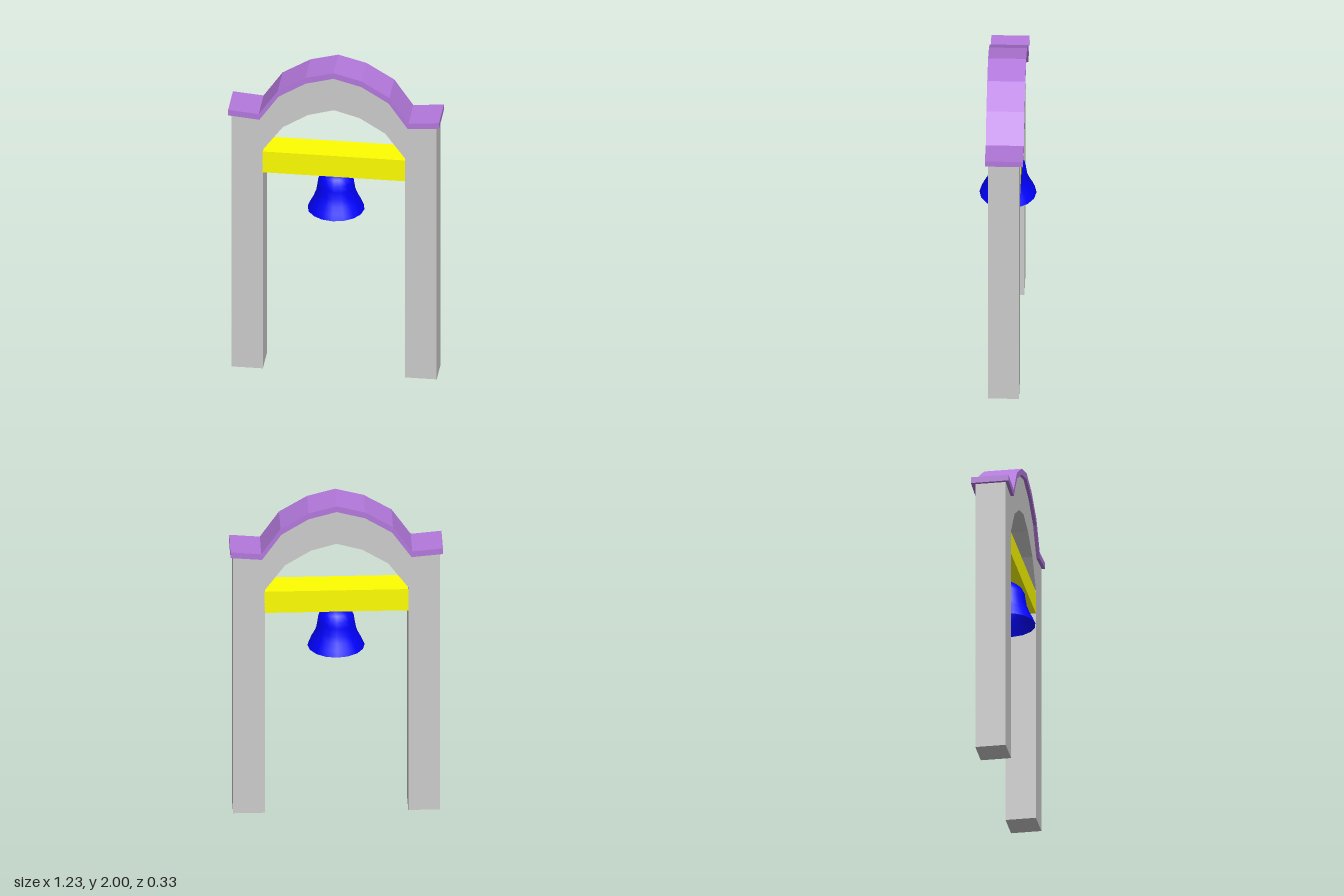
import * as THREE from 'three';

const mat = (color, extra = {}) => new THREE.MeshStandardMaterial({ color, ...extra });

// Mirror a half outline (outer end to centre) across x = 0
const mirrored = (half) => [
  ...half,
  ...half.filter(([x]) => x !== 0).reverse().map(([x, y]) => [-x, y]),
];

// Extrude a front outline between two depths
function slab(name, points, back, front, material) {
  const shape = new THREE.Shape(points.map(([x, y]) => new THREE.Vector2(x, y)));
  const geometry = new THREE.ExtrudeGeometry(shape, { depth: front - back, bevelEnabled: false });
  geometry.translate(0, 0, back);
  const mesh = new THREE.Mesh(geometry, material);
  mesh.name = name;
  return mesh;
}

export function createModel() {
  const group = new THREE.Group();
  group.name = 'bellArch';
  const back = -0.082, front = 0.096;

  // Half outlines, from the left end to the crown
  const roofTop = mirrored([[-0.614, 1.713], [-0.436, 1.697], [-0.325, 1.859], [-0.163, 1.957], [0, 2]]);
  const roofBottom = mirrored([[-0.614, 1.676], [-0.432, 1.66], [-0.32, 1.822], [-0.163, 1.919], [0, 1.963]]);
  const opening = mirrored([[-0.414, 0], [-0.414, 1.452], [-0.298, 1.61], [-0.149, 1.702], [0, 1.744]]);

  // Pillars and arch in one piece
  const wallTop = roofBottom.map(([x, y]) => [Math.abs(x) > 0.6 ? Math.sign(x) * 0.598 : x, y]);
  group.add(slab('archWall',
    [[-0.598, 0], ...opening, [0.598, 0], ...wallTop.reverse()],
    back, front, mat(0xcccccc)));

  // Roof strip that follows the arch
  group.add(slab('roofCoping', [...roofBottom, ...[...roofTop].reverse()],
    -0.105, 0.115, mat(0xb378dc)));

  // Crossbeam
  const beam = new THREE.Mesh(new THREE.BoxGeometry(0.832, 0.138, front - back), mat(0xffff00));
  beam.position.set(0, 1.371, (front + back) / 2);
  beam.name = 'crossbeam';
  group.add(beam);

  // Hollow bell, open at the bottom
  const bell = new THREE.Group();
  bell.name = 'bell';
  const blue = mat(0x0000ff);
  const profile = [
    [0.165, 1.045], [0.15, 1.08], [0.13, 1.118], [0.115, 1.158], [0.108, 1.2],
    [0.103, 1.236], [0.085, 1.271], [0.055, 1.296], [0, 1.308],
  ].map(([r, y]) => new THREE.Vector2(r, y));
  const shell = new THREE.Mesh(new THREE.LatheGeometry(profile, 16),
    mat(0x0000ff, { side: THREE.DoubleSide }));
  shell.name = 'bellShell';

  // Clapper
  const ball = new THREE.Mesh(new THREE.SphereGeometry(0.029, 16, 12), blue);
  ball.position.set(-0.007, 1.036, 0);
  ball.name = 'clapperBall';
  const rod = new THREE.Mesh(new THREE.CylinderGeometry(0.006, 0.006, 0.25, 8), blue);
  rod.position.set(-0.007, 1.17, 0);
  rod.name = 'clapperRod';
  bell.add(shell, ball, rod);
  group.add(bell);

  return group;
}
